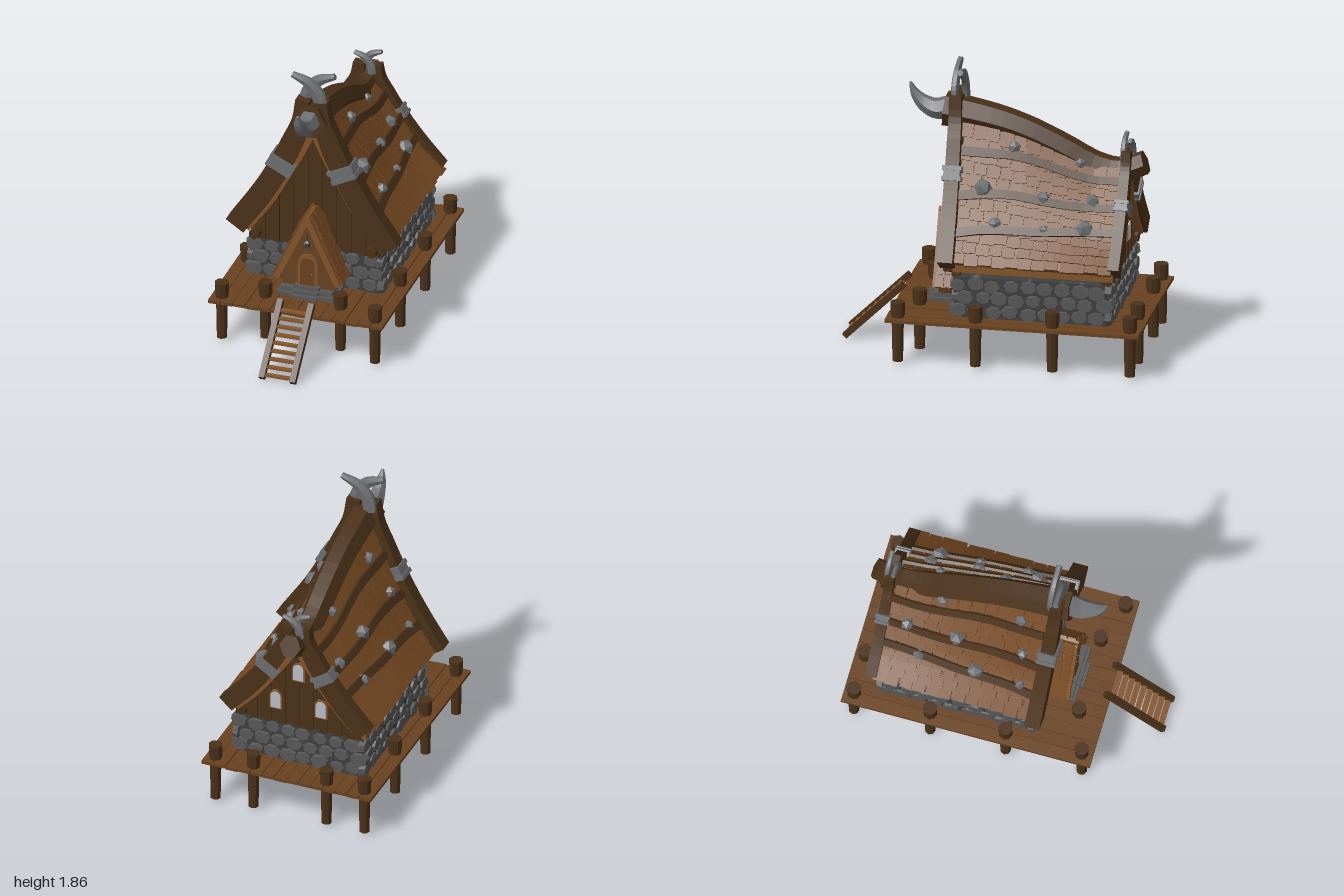
import * as THREE from 'three';
import { mergeGeometries } from 'three/addons/utils/BufferGeometryUtils.js';

const V = (x, y, z) => new THREE.Vector3(x, y, z);
const paint = (color) => new THREE.MeshStandardMaterial({ color, flatShading: true });
const DARK = paint(0x4a3119), MID = paint(0x694220), LIGHT = paint(0x84542a), SHINGLE = paint(0x744821);
const STONE = paint(0x585858), MORTAR = paint(0x3f3f3f), IRON = paint(0x6c6e71), PALE = paint(0xb9bdc4);

let seed = 7;
const rand = (a = -1, b = 1) => {
  seed = (seed * 16807) % 2147483647;
  return a + (b - a) * seed / 2147483647;
};

// Linear lookup in a table of [key, value] with rising keys
function lookup(table, k) {
  let i = 1;
  while (i < table.length - 1 && k > table[i][0]) i++;
  const [a, b] = [table[i - 1], table[i]];
  return THREE.MathUtils.lerp(a[1], b[1], THREE.MathUtils.clamp((k - a[0]) / (b[0] - a[0]), 0, 1));
}
// Value at t along a list of two or more evenly spaced values
const along = (list, t) => lookup(list.map((v, i) => [i / (list.length - 1), v]), t);

function add(parent, name, material, geos) {
  const list = [].concat(geos).map((g) => (g.index ? g.toNonIndexed() : g));
  const mesh = new THREE.Mesh(list.length > 1 ? mergeGeometries(list) : list[0], material);
  mesh.name = name;
  parent.add(mesh);
  return mesh;
}
const box = (w, h, d, x, y, z, rx = 0, rz = 0) =>
  new THREE.BoxGeometry(w, h, d).rotateX(rx).rotateZ(rz).translate(x, y, z);

// Skin a list of closed rings and cap both ends
function loft(rings) {
  const pos = [], n = rings[0].length;
  const tri = (...p) => p.forEach((v) => pos.push(v.x, v.y, v.z));
  const mid = (r) => r.reduce((s, p) => s.add(p), V(0, 0, 0)).divideScalar(n);
  const first = rings[0], last = rings[rings.length - 1], c0 = mid(first), c1 = mid(last);
  for (let j = 0; j < n; j++) {
    const k = (j + 1) % n;
    for (let i = 0; i + 1 < rings.length; i++) {
      tri(rings[i][j], rings[i][k], rings[i + 1][k]);
      tri(rings[i][j], rings[i + 1][k], rings[i + 1][j]);
    }
    tri(c0, first[k], first[j]);
    tri(c1, last[j], last[k]);
  }
  const g = new THREE.BufferGeometry();
  g.setAttribute('position', new THREE.Float32BufferAttribute(pos, 3));
  g.computeVertexNormals();
  return g;
}

// Sweep a polygon along a spline; rb is the half size along axis b, rn across it
function sweep(points, b, rb, rn, sides = 6, phase = 0, steps = 14) {
  const curve = new THREE.CatmullRomCurve3(points), rings = [];
  for (let i = 0; i <= steps; i++) {
    const t = i / steps, c = curve.getPoint(t);
    const n = curve.getTangent(t).cross(b).normalize();
    rings.push(Array.from({ length: sides }, (_, j) => {
      const a = phase + (j / sides) * Math.PI * 2;
      return c.clone().addScaledVector(b, Math.cos(a) * along(rb, t)).addScaledVector(n, Math.sin(a) * along(rn, t));
    }));
  }
  return loft(rings);
}
const Q = Math.PI / 4, X = V(1, 0, 0), Z = V(0, 0, 1);

function arch(w, h, depth, x, y, z) {
  const s = new THREE.Shape().moveTo(-w, 0).lineTo(w, 0).lineTo(w, h - w);
  s.absarc(0, h - w, w, 0, Math.PI).closePath();
  return new THREE.ExtrudeGeometry(s, { depth, bevelEnabled: false, curveSegments: 6 }).translate(x, y, z);
}

// Roof surface: one slope profile, its height following the sagging ridge
const EAVE = 0.7;
const RIDGE = [[-0.82, 1.31], [-0.61, 1.34], [-0.4, 1.43], [-0.18, 1.53], [0, 1.585], [0.24, 1.63]];
const rise = (z) => (lookup(RIDGE, z) - EAVE) / 1.02;
const PROFILE = [[0.5, 0], [0.34, 0.265], [0.24, 0.485], [0.16, 0.67], [0.11, 0.785], [0.055, 0.92]];
const slope = new THREE.CatmullRomCurve3(PROFILE.map(([x, y]) => V(x, y, 0)));
const slopeY = (x) => lookup([...PROFILE].reverse(), x);
const at = (u, z) => {
  const p = slope.getPointAt(THREE.MathUtils.clamp(u, 0, 1));
  return V(p.x, EAVE + p.y * rise(z), z);
};
function frame(u, z) {
  const p = at(u, z), t = at(u + 0.02, z).sub(at(u - 0.02, z)).normalize();
  const n = t.clone().cross(at(u, z + 0.02).sub(at(u, z - 0.02))).normalize();
  return { p, t, n };
}

function roofSide() {
  const g = new THREE.Group();
  g.name = 'roofSide';
  // Deck under the shingles
  const rings = [], us = Array.from({ length: 11 }, (_, i) => i / 10);
  for (let i = 0; i <= 10; i++) {
    const f = us.map((u) => frame(u, -0.8 + i * 0.102));
    rings.push([...f.map((a) => a.p), ...f.reverse().map((a) => a.p.clone().addScaledVector(a.n, -0.035))]);
  }
  add(g, 'roofDeck', SHINGLE, loft(rings));
  // Overlapping rows of shingles
  const shingles = [];
  for (let r = 0; r < 12; r++) {
    for (let k = 0; k < 12; k++) {
      const z = -0.755 + k * 0.086 + (r % 2 ? 0.012 : -0.012) + rand() * 0.006;
      const { p, t, n } = frame(0.045 + r * 0.079 + rand() * 0.009, z);
      const up = t.clone().addScaledVector(n, -0.13).normalize();
      const side = n.clone().cross(up).normalize(), out = up.clone().cross(side);
      const m = new THREE.Matrix4().makeBasis(up, side, out).setPosition(p.addScaledVector(n, 0.005));
      shingles.push(new THREE.BoxGeometry(0.098, 0.08 + rand() * 0.006, 0.016).applyMatrix4(m));
    }
  }
  add(g, 'shingles', SHINGLE, shingles);
  // Battens running front to back
  add(g, 'battens', DARK, [[0.37, 0.205], [0.6, 0.47], [0.86, 0.77]].map(([back, front], i) => {
    const pts = Array.from({ length: 7 }, (_, k) => {
      const { p, n } = frame(THREE.MathUtils.lerp(back, front, k / 6) + 0.01 * Math.sin(k * 1.6 + i), -0.8 + k * 0.17);
      return p.addScaledVector(n, 0.014);
    });
    return sweep(pts, frame((back + front) / 2, -0.3).t, [0.034, 0.042], [0.03, 0.03], 4, Q);
  }));
  add(g, 'wallPlate', DARK, new THREE.CylinderGeometry(0.036, 0.036, 1.1, 6).rotateX(Math.PI / 2).translate(0.39, 0.64, -0.26));
  add(g, 'eaveBoards', LIGHT, [box(0.03, 0.045, 1.03, 0.455, 0.655, -0.295), box(0.07, 0.02, 1.02, 0.44, 0.685, -0.29)]);

  // Gable ends: bargeboard, trim and clamp
  for (const [end, z, sx, sy, d, lean] of [['front', 0.253, 1, 1, 0.05, 0.025], ['back', -0.82, 0.92, 0.685, 0.037, 0]]) {
    const map = (list, dz = 0) => list.map(([x, y]) => V(x * sx, EAVE + (y - EAVE) * sy, z + dz + (y - EAVE) * lean));
    const rail = [[0.515, 0.69], [0.34, 0.95], [0.21, 1.19], [0.125, 1.38], [0.075, 1.53], [0.06, 1.68]];
    const w = [0.07, 0.074, 0.072, 0.07, 0.055, 0.045].map((v) => v * 1.414 * (sy < 1 ? 0.82 : 1));
    add(g, end + 'Bargeboard', DARK, sweep(map(rail), Z, [d * 1.414, d * 1.1], w, 4, Q, 16));
    const inner = [[0.45, 0.665], [0.285, 0.9], [0.16, 1.13], [0.075, 1.29], [0.0, 1.46]];
    add(g, end + 'Trim', LIGHT, sweep(map(inner, sy < 1 ? 0.015 : -0.015), Z, [0.04, 0.04], [0.034, 0.034], 4, Q));
    const [c, a, b] = map([[0.205, 1.19], [0.27, 1.08], [0.165, 1.29]]);
    const bands = [[0, 0.165, 0.05, 0.105], [0.033, 0.18, 0.028, 0.125], [-0.033, 0.18, 0.028, 0.125]];
    const clamp = add(g, end + 'Clamp', IRON, bands.map(([y, bw, bh, bd]) => box(bw, bh, bd, 0, y, 0)));
    clamp.position.copy(c);
    clamp.rotation.z = Math.atan2(b.y - a.y, b.x - a.x) - Math.PI / 2;
    if (sy < 1) clamp.scale.set(0.85, 0.75, 0.75);
  }
  return g;
}

// Crossed horns above a gable
function horns(parent, name, y, z, s) {
  for (const side of [1, -1]) {
    const pts = [[0.06, 0], [0.045, 0.09], [-0.02, 0.175], [-0.135, 0.225]].map(([px, py]) => V(px * s * side, y + py * s, z + side * 0.025));
    add(parent, name, IRON, sweep(pts, Z, [0.027, 0.026, 0.02].map((v) => v * Math.sqrt(s)), [0.046 * s, 0.05 * s, 0.042 * s, 0.02 * s], 6));
  }
}

// Vertical boards filling a gable, alternate ones standing proud
function gable(parent, name, z, sx, sy) {
  const line = [[0, 1.46], [0.06, 1.42], [0.13, 1.3], [0.21, 1.12], [0.34, 0.9], [0.46, 0.72]];
  const top = (x) => EAVE + (lookup(line, Math.abs(x) / sx) - EAVE) * sy;
  const boards = [], n = 18, w = 0.86 / n;
  for (let i = 0; i < n; i++) {
    const x = -0.43 + i * w, e = x + w, out = (i % 2) * 0.01;
    const s = new THREE.Shape([[x, 0.59], [e, 0.59], [e, top(e)], [x, top(x)]].map((p) => new THREE.Vector2(...p)));
    boards.push(new THREE.ExtrudeGeometry(s, { depth: 0.035 + out * 2, bevelEnabled: false }).translate(0, 0, z - 0.01 - out));
  }
  add(parent, name, DARK, boards);
}

function stoneBase(parent) {
  add(parent, 'stoneCore', MORTAR, box(0.88, 0.28, 1.0, 0, 0.455, -0.28));
  const stones = [];
  for (const [len, dist, turn] of [[0.88, 0.495, 0], [1, 0.433, 1], [0.88, 0.495, 2], [1, 0.433, 3]]) {
    const n = Math.round(len / 0.112);
    for (let r = 0; r < 3; r++) {
      for (let i = 0; i < n; i++) {
        const k = rand(0.85, 1.1);
        stones.push(new THREE.CylinderGeometry(0.8, 1, 1, 7).rotateX(Math.PI / 2).rotateZ(rand() * 3)
          .scale(0.066 * k, 0.053 * k, 0.04)
          .translate(((i + 0.5 + (r % 2 ? 0.2 : -0.2)) / n - 0.5) * len + rand() * 0.008, 0.37 + r * 0.088 + rand() * 0.008, dist + rand() * 0.006)
          .rotateY(turn * Math.PI / 2).translate(0, 0, -0.28));
      }
    }
  }
  add(parent, 'stones', STONE, stones);
}

function porch(parent) {
  const g = new THREE.Group();
  g.name = 'porch';
  parent.add(g);
  const s = new THREE.Shape([[-0.15, 0.33], [0.15, 0.33], [0.185, 0.44], [0, 0.87], [-0.185, 0.44]].map((p) => new THREE.Vector2(...p)));
  add(g, 'porchWall', MID, new THREE.ExtrudeGeometry(s, { depth: 0.17, bevelEnabled: false }).translate(0, 0, 0.2));
  const tilt = Math.atan2(0.46, 0.21), parts = [], slabs = [];
  for (const m of [1, -1]) {
    slabs.push(box(0.51, 0.04, 0.19, m * 0.1, 0.655, 0.305, 0, -m * tilt));
    for (let r = 0; r < 6; r++) for (let k = 0; k < 3; k++) {
      const t = 0.09 + r * 0.165;
      parts.push(box(0.1, 0.016, 0.052, m * (0.022 + t * 0.2), 0.9 - t * 0.46, 0.238 + k * 0.057 + rand() * 0.005, 0, -m * (tilt - 0.1)));
    }
  }
  add(g, 'porchRoof', LIGHT, slabs);
  add(g, 'porchShingles', SHINGLE, parts);
  add(g, 'doorFrame', LIGHT, arch(0.066, 0.225, 0.02, 0, 0.39, 0.365));
  add(g, 'door', MID, arch(0.048, 0.2, 0.026, 0, 0.39, 0.365));
  add(g, 'doorKnob', IRON, new THREE.IcosahedronGeometry(0.007).translate(0.03, 0.48, 0.393));
  add(g, 'lantern', MORTAR, [box(0.026, 0.035, 0.026, 0, 0.69, 0.39), box(0.007, 0.06, 0.007, 0, 0.735, 0.39),
    box(0.007, 0.007, 0.035, 0, 0.765, 0.38), new THREE.ConeGeometry(0.024, 0.018, 4).rotateY(Q).translate(0, 0.716, 0.39)]);
  add(g, 'steps', STONE, [box(0.38, 0.03, 0.2, 0, 0.335, 0.33), box(0.34, 0.028, 0.18, 0, 0.362, 0.32),
    ...[0, 1, 2].map((i) => box(0.165, 0.024, 0.06, 0, 0.335 + i * 0.025, 0.425 - i * 0.022))]);
}

export function createModel() {
  const model = new THREE.Group();
  model.name = 'stiltHouse';

  // Platform on posts
  add(model, 'deckPlanks', MID, Array.from({ length: 14 }, (_, i) =>
    box(0.079, 0.022, 1.635, -0.54 + i * 0.0831, 0.312 + rand() * 0.003, -0.18, 0, rand() * 0.02)));
  const spots = [[0.51, 0.565], [0.51, 0.065], [0.51, -0.43], [0.51, -0.93], [0.25, 0.475], [0.25, -0.93]];
  add(model, 'posts', DARK, spots.flatMap(([x, z]) => [x, -x].flatMap((px) => [
    new THREE.CylinderGeometry(0.042, 0.034, 0.39, 8).translate(px, 0.225, z),
    new THREE.CylinderGeometry(0.047, 0.045, 0.085, 8).translate(px, 0.383, z)])));

  // Ladder
  const lean = Math.atan2(0.37, 0.38);
  add(model, 'ladderRails', DARK, [1, -1].map((m) => box(0.038, 0.04, 0.53, m * 0.103, 0.208, 0.797, lean)));
  add(model, 'ladderRungs', LIGHT, Array.from({ length: 9 }, (_, i) => box(0.19, 0.012, 0.035, 0, 0.04 + i * 0.038, 0.965 - i * 0.039)));

  stoneBase(model);
  gable(model, 'frontGable', 0.2, 1, 1);
  gable(model, 'backGable', -0.765, 0.95, 0.685);
  for (const [x, y] of [[0, 0.95], [0.155, 0.71], [-0.155, 0.71]]) {
    add(model, 'windowFrame', LIGHT, arch(0.044, 0.135, 0.03, x, y - 0.008, -0.795));
    add(model, 'windowPane', PALE, arch(0.034, 0.118, 0.03, x, y, -0.8));
  }

  // Roof halves
  model.add(roofSide());
  const other = roofSide();
  other.scale.x = -1;
  model.add(other);

  // Ridge log with its curved prow
  const ridge = [[-0.93, 1.285], [-0.77, 1.225], [-0.61, 1.25], [-0.4, 1.35], [-0.18, 1.445], [0, 1.5], [0.24, 1.545], [0.36, 1.56]];
  add(model, 'ridgeLog', DARK, sweep(ridge.map(([z, y]) => V(0, y, z)), X, [0.072, 0.088, 0.095, 0.11], [0.08, 0.088, 0.098, 0.115], 6, 0, 20));
  const prow = [[0.33, 1.57], [0.42, 1.555], [0.5, 1.59], [0.555, 1.65], [0.585, 1.72]];
  add(model, 'prowHorn', IRON, sweep(prow.map(([z, y]) => V(0, y, z)), X, [0.075, 0.07, 0.05, 0.035, 0.01], [0.075, 0.068, 0.052, 0.03, 0.008], 6));
  horns(model, 'frontHorn', 1.625, 0.262, 1);
  horns(model, 'backHorn', 1.31, -0.82, 0.62);

  // Faceted roof bosses: x, z, radius
  const bosses = [[0.11, -0.11, 0.044], [0.08, -0.53, 0.035], [0.245, 0.065, 0.062], [0.235, -0.32, 0.046], [0.2, -0.63, 0.048], [0.345, -0.03, 0.044],
    [0.34, -0.34, 0.036], [0.31, -0.6, 0.06], [-0.115, 0.06, 0.042], [-0.24, 0.105, 0.04], [-0.365, 0.12, 0.034], [-0.35, -0.175, 0.056],
    [-0.23, -0.33, 0.056], [-0.085, -0.465, 0.038], [-0.335, -0.55, 0.044], [-0.215, -0.66, 0.046]];
  add(model, 'roofBosses', IRON, bosses.map(([x, z, r]) => new THREE.IcosahedronGeometry(r).rotateX(rand() * 2).rotateY(rand() * 2)
    .translate(x + Math.sign(x) * 0.008, EAVE + rise(z) * slopeY(Math.abs(x)) + 0.015, z)));

  porch(model);
  return model;
}
